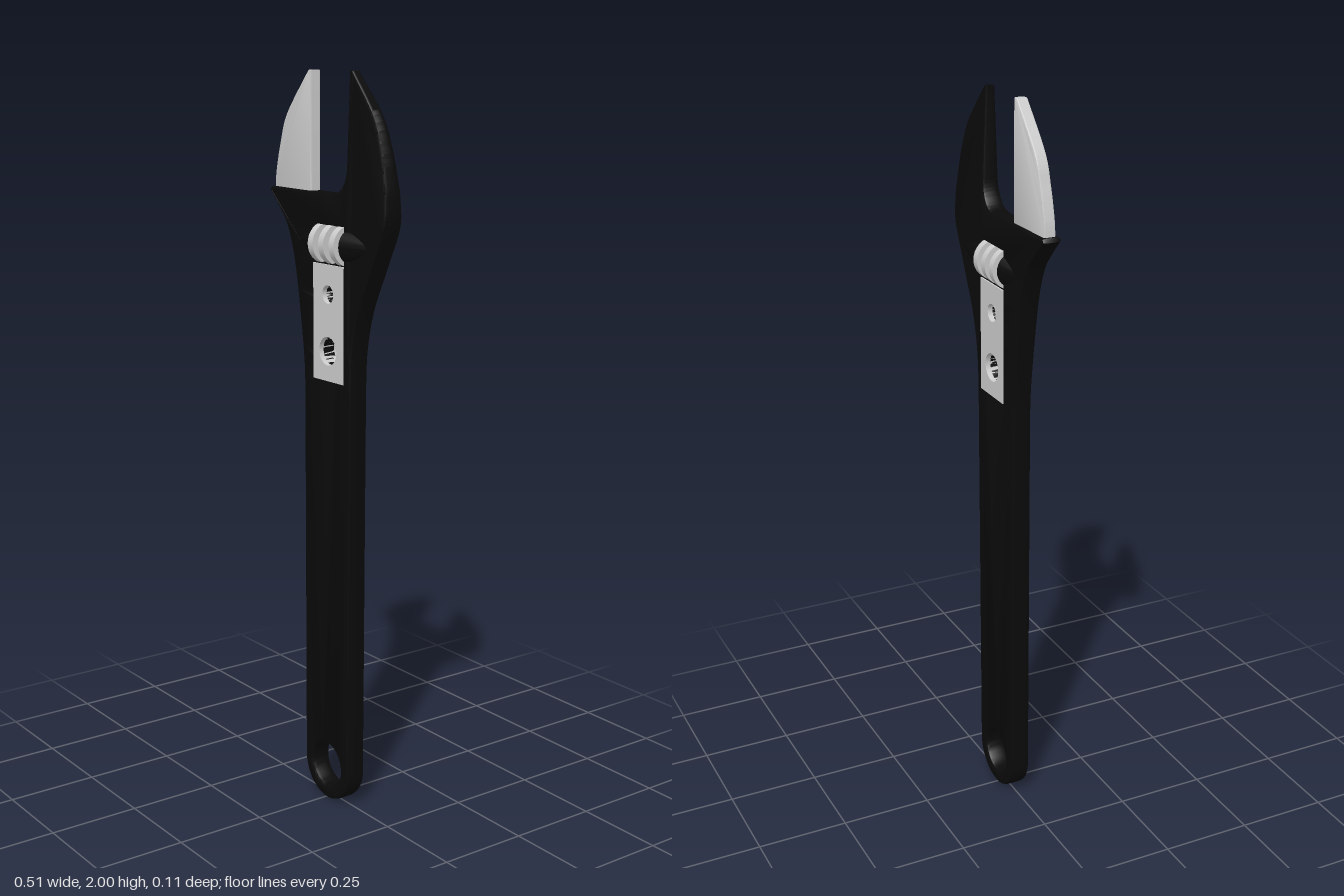
import * as THREE from 'three';
import { toCreasedNormals } from 'three/addons/utils/BufferGeometryUtils.js';

const black = new THREE.MeshStandardMaterial({ color: 0x0a0a0a });
const grey = new THREE.MeshStandardMaterial({ color: 0xcccccc });
const WORM_Y = 1.56;
const HOLES = [[0.018, 1.43, 0.024], [0.018, 1.28, 0.038]];

const circle = (x, y, r) => new THREE.Path().absarc(x, y, r, 0, Math.PI * 2, true);
const rect = (s, x0, y0, x1, y1) =>
  s.moveTo(x0, y0).lineTo(x1, y0).lineTo(x1, y1).lineTo(x0, y1).closePath();

// Plate of half thickness t, centred on z = 0, bevelled inward from its outline
function plate(shape, t, bevel) {
  const g = new THREE.ExtrudeGeometry(shape, {
    depth: 2 * (t - bevel * 1.5), bevelEnabled: bevel > 0, bevelThickness: bevel * 1.5,
    bevelSize: bevel, bevelOffset: -bevel, bevelSegments: 2, curveSegments: 24,
  });
  return g.translate(0, 0, -(t - bevel * 1.5));
}

// Ring profile [radius, x] turned about the x axis
function turned(profile) {
  const g = new THREE.LatheGeometry(profile.map(([r, x]) => new THREE.Vector2(r, x)), 32);
  g.rotateZ(-Math.PI / 2).translate(0, WORM_Y, 0);
  return toCreasedNormals(g, 0.6);
}

export function createModel() {
  const group = new THREE.Group();
  const add = (name, geometry, material) => {
    const m = new THREE.Mesh(geometry, material);
    m.name = name;
    group.add(m);
  };

  // Handle and head with the fixed jaw, in one outline
  const body = new THREE.Shape();
  body.moveTo(-0.095, 0.105);
  body.absarc(0.006, 0.105, 0.101, Math.PI, Math.PI * 2, false);
  body.lineTo(0.113, 1.18);
  body.splineThru([[0.119, 1.288], [0.145, 1.394], [0.2, 1.51], [0.25, 1.617], [0.254, 1.685],
    [0.246, 1.738], [0.225, 1.817], [0.188, 1.897], [0.097, 2]].map(p => new THREE.Vector2(...p)));
  body.lineTo(0.085, 2);
  body.lineTo(0.085, 1.765);
  body.bezierCurveTo(0.085, 1.72, 0.06, 1.69, 0.02, 1.69);
  body.lineTo(-0.25, 1.693);
  body.lineTo(-0.257, 1.683);
  body.splineThru([[-0.215, 1.642], [-0.172, 1.59], [-0.14, 1.5], [-0.114, 1.357],
    [-0.098, 1.235], [-0.095, 1.15]].map(p => new THREE.Vector2(...p)));
  body.closePath();
  body.holes.push(circle(0.006, 0.105, 0.063));
  HOLES.forEach(h => body.holes.push(circle(...h)));
  body.holes.push(rect(new THREE.Path(), -0.039, 1.512, 0.079, 1.608));

  // Thin the head towards the jaw tip
  const bodyGeo = plate(body, 0.029, 0.008);
  const pos = bodyGeo.attributes.position;
  for (let i = 0; i < pos.count; i++) {
    const k = THREE.MathUtils.clamp((pos.getY(i) - 1.62) / 0.38, 0, 1);
    pos.setZ(i, pos.getZ(i) * (1 - 0.55 * k));
  }
  add('body', toCreasedNormals(bodyGeo, 0.6), black);

  // Tapered bosses at both ends of the worm screw
  add('rightBoss', turned([[0, -0.135], [0.022, -0.13], [0.047, -0.047], [0, -0.047]]), black);
  add('leftBoss', turned([[0, 0.087], [0.048, 0.087], [0.022, 0.2], [0, 0.2]]), black);

  // Movable jaw
  const jaw = new THREE.Shape();
  jaw.moveTo(-0.077, 1.68);
  jaw.lineTo(-0.077, 2);
  jaw.lineTo(-0.09, 2);
  jaw.splineThru([[-0.188, 1.887], [-0.22, 1.81], [-0.24, 1.735], [-0.245, 1.688]]
    .map(p => new THREE.Vector2(...p)));
  jaw.lineTo(-0.24, 1.68);
  jaw.closePath();
  add('movableJaw', toCreasedNormals(plate(jaw, 0.016, 0.004), 0.6), grey);

  // Worm screw: core with three raised rings
  const profile = [[0, -0.047], [0.036, -0.047]];
  for (const x of [-0.038, 0.008, 0.054]) {
    profile.push([0.036, x], [0.055, x], [0.055, x + 0.022], [0.036, x + 0.022]);
  }
  profile.push([0.036, 0.087], [0, 0.087]);
  add('wormScrew', turned(profile), grey);

  // Inlay panel with two through holes, showing on both faces
  const panel = rect(new THREE.Shape(), -0.047, 1.2, 0.085, 1.508);
  HOLES.forEach(h => panel.holes.push(circle(...h)));
  add('inlayPanel', plate(panel, 0.031, 0), grey);

  return group;
}
